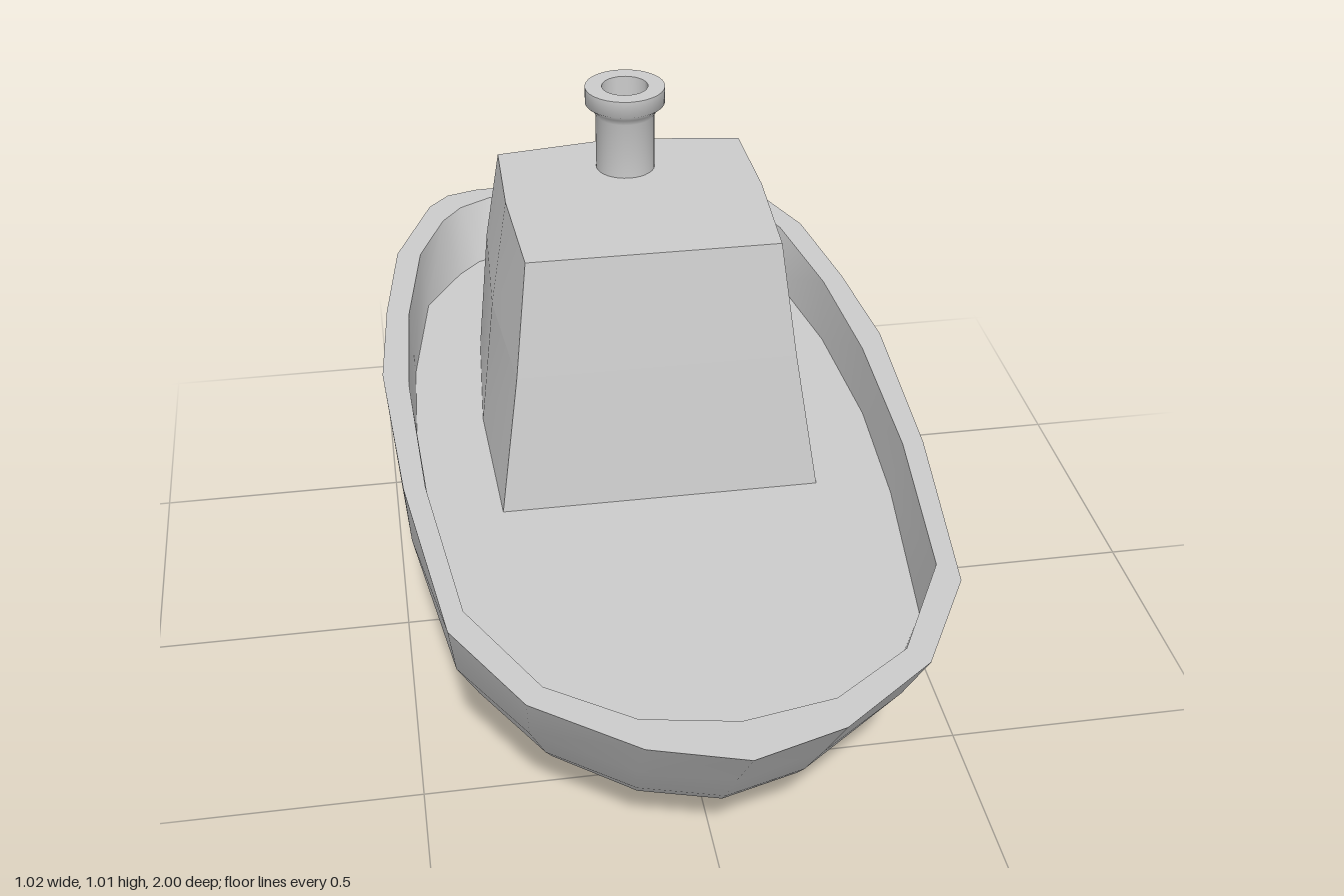
import * as THREE from 'three';
import { toCreasedNormals } from 'three/addons/utils/BufferGeometryUtils.js';

const grey = new THREE.MeshStandardMaterial({ color: 0xcccccc });

// Closed ring at height y from a half outline [x, z] running bow -> left side -> stern.
function ring(half, y) {
  const other = half.filter(p => p[0] > 0).reverse().map(([x, z]) => [-x, z]);
  return [...half, ...other].map(([x, z]) => [x, y, z]);
}

// Skin a stack of equal-count rings, with optional fan caps at either end.
function loft(rings, crease, capStart, capEnd) {
  const n = rings[0].length, index = [], pos = rings.flat(2);
  for (let i = 0; i < rings.length - 1; i++) {
    for (let j = 0; j < n; j++) {
      const a = i * n + j, b = i * n + (j + 1) % n;
      index.push(a, b, b + n, a, b + n, a + n);
    }
  }
  const cap = (k, up) => {
    const r = rings[k], c = pos.length / 3;
    const zs = r.map(p => p[2]);
    pos.push(0, r[0][1], (Math.min(...zs) + Math.max(...zs)) / 2);
    for (let j = 0; j < n; j++) {
      const a = k * n + j, b = k * n + (j + 1) % n;
      up ? index.push(c, a, b) : index.push(c, b, a);
    }
  };
  if (capStart) cap(0, false);
  if (capEnd) cap(rings.length - 1, true);
  const g = new THREE.BufferGeometry();
  g.setAttribute('position', new THREE.Float32BufferAttribute(pos, 3));
  g.setIndex(index);
  return toCreasedNormals(g, crease);
}

export function createModel() {
  const boat = new THREE.Group();
  boat.name = 'boat';
  const add = (name, geometry) => {
    const mesh = new THREE.Mesh(geometry, grey);
    mesh.name = name;
    boat.add(mesh);
    return mesh;
  };

  const rimY = 0.475, deckY = 0.35, ledgeY = 0.62, roofY = 0.84;
  const outer = [[0, 1], [0.16, 0.95], [0.33, 0.82], [0.44, 0.62], [0.49, 0.2], [0.51, -0.2],
    [0.49, -0.45], [0.455, -0.7], [0.37, -0.915], [0.325, -0.965], [0.26, -0.985], [0, -1]];
  const inner = [[0, 0.91], [0.16, 0.88], [0.3, 0.78], [0.41, 0.57], [0.45, 0.2], [0.46, -0.15],
    [0.445, -0.43], [0.405, -0.69], [0.345, -0.84], [0.3, -0.9], [0.23, -0.94], [0, -0.962]];
  const deck = [[0, 0.865], [0.15, 0.84], [0.28, 0.75], [0.395, 0.55], [0.44, 0.18], [0.455, -0.1],
    [0.44, -0.4], [0.395, -0.68], [0.315, -0.81], [0.265, -0.865], [0.2, -0.89], [0, -0.907]];

  // Hull: the rim outline shrunk level by level [y, half width, bow z, stern z, roundness]
  const levels = [
    [0.003, 0.06, -0.06, -0.36, 0.8], [0.01, 0.165, 0.09, -0.5, 0.7], [0.04, 0.285, 0.23, -0.585, 0.6],
    [0.12, 0.415, 0.56, -0.775, 0.5], [0.175, 0.447, 0.77, -0.89, 0.45], [0.21, 0.463, 0.8, -0.905, 0.35],
    [0.32, 0.5, 0.88, -0.945, 0.12], [rimY, 0.51, 1, -1, 0],
  ];
  const hullRings = levels.map(([y, w, zf, zb, round]) => ring(outer.map(([x, z]) => {
    const u = THREE.MathUtils.lerp(x / 0.51, Math.sqrt(Math.max(0, 1 - z * z)), round);
    return [x === 0 ? 0 : u * w, (zf + zb) / 2 + z * (zf - zb) / 2];
  }), y));
  add('hull', loft(hullRings, 1.3, true, false));

  // Flat rim, sloping inside wall and deck
  add('bulwark', loft([ring(outer, rimY), ring(inner, rimY), ring(deck, deckY)], 0.6, false, false));
  add('deck', loft([ring(deck, deckY)], 0.5, false, true));

  // Cabin: low rounded rear section with the tall wheelhouse on top of its front part
  const base = [[0.305, 0.127], [0.315, -0.2], [0.295, -0.5], [0.25, -0.65], [0.2, -0.71],
    [0.1, -0.76], [0, -0.785]];
  const ledge = [[0.265, 0.085], [0.285, -0.2], [0.27, -0.49], [0.237, -0.63], [0.19, -0.68],
    [0.095, -0.725], [0, -0.747]];
  const houseBase = [...ledge.slice(0, 3), [0, -0.52]];
  const roof = [[0.238, 0.045], [0.25, -0.2], [0.245, -0.41], [0, -0.445]];
  add('lowerCabin', loft([ring(base, deckY), ring(ledge, ledgeY)], 0.3, false, true));
  add('wheelhouse', loft([ring(houseBase, ledgeY), ring(roof, roofY)], 0.3, false, true));

  // Hollow funnel with a flared collar
  const profile = [[0.058, 0.83], [0.058, 0.953], [0.064, 0.965], [0.078, 0.977], [0.078, 1.01],
    [0.045, 1.01], [0.045, 0.9], [0, 0.9]].map(p => new THREE.Vector2(...p));
  const funnel = add('funnel', toCreasedNormals(new THREE.LatheGeometry(profile, 32), 1));
  funnel.position.z = -0.322;

  return boat;
}
